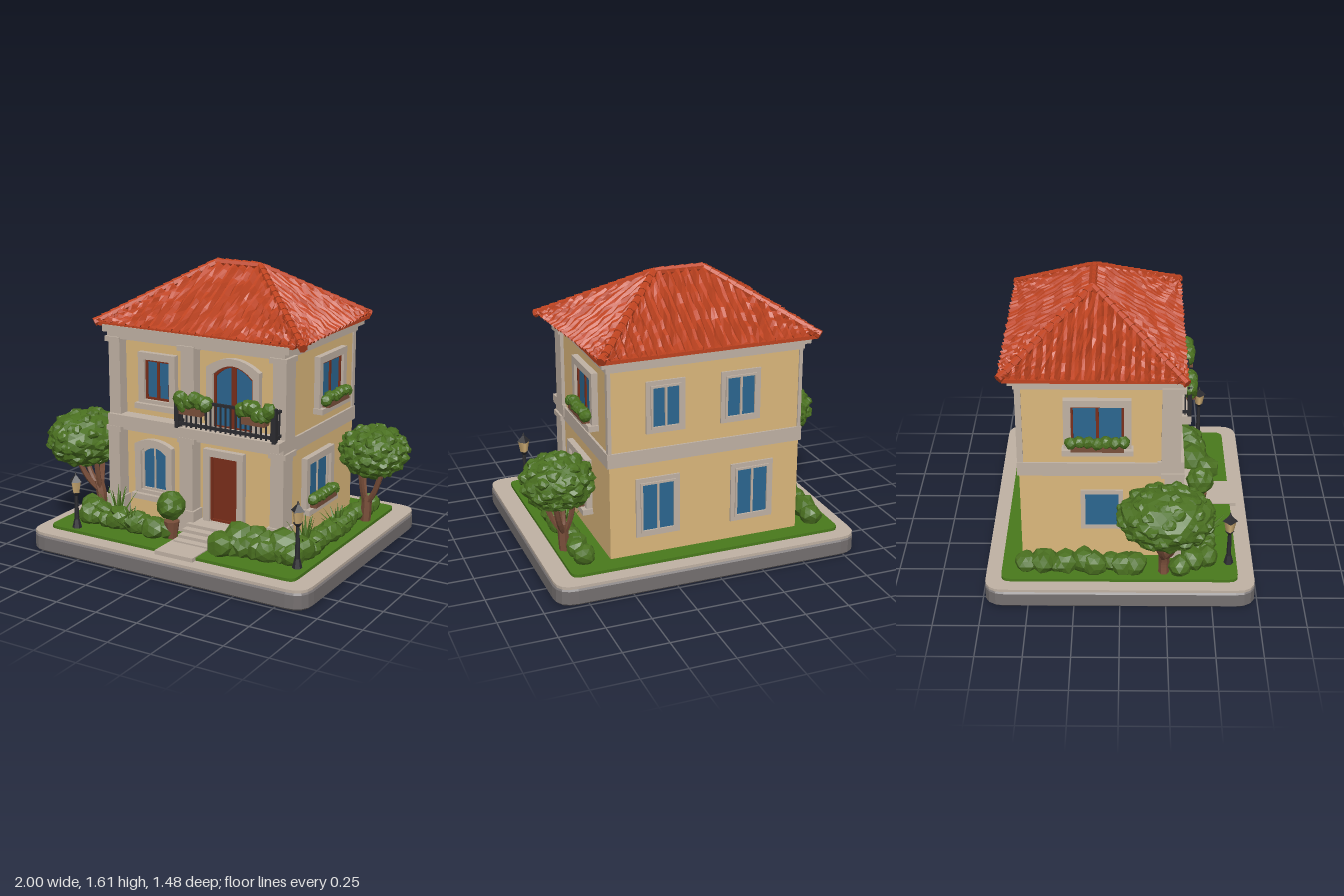
import * as THREE from 'three';

const mat = (name, color, extra = {}) => Object.assign(new THREE.MeshStandardMaterial({ color, ...extra }), { name });
const M = {
  roof: mat('roof tile', 0xbf4320, { flatShading: true, side: THREE.DoubleSide }),
  wall: mat('sand plaster', 0xdcb87c),
  trim: mat('pale stone', 0xc0b2a4),
  stone: mat('dark stone', 0x757070),
  leaf: mat('leaf green', 0x4a7020, { flatShading: true, side: THREE.DoubleSide }),
  grass: mat('grass green', 0x497a1c),
  door: mat('red wood', 0x7a2e1a),
  glass: mat('blue glass', 0x2b6690),
  iron: mat('black iron', 0x2b2b30, { flatShading: true }),
  bark: mat('bark brown', 0x7a4f3a, { flatShading: true }),
};
let seed = 7;
const rnd = (a = 0, b = 1) => { seed = (seed * 16807) % 2147483647; return a + (b - a) * seed / 2147483647; };
const V = (x, y, z) => new THREE.Vector3(x, y, z);

function add(parent, name, geo, material, x = 0, y = 0, z = 0) {
  const m = new THREE.Mesh(geo, material);
  m.name = name;
  m.position.set(x, y, z);
  parent.add(m);
  return m;
}
// Box given by its limits on each axis
const box = (p, name, m, x0, x1, y0, y1, z0, z1) =>
  add(p, name, new THREE.BoxGeometry(x1 - x0, y1 - y0, z1 - z0), m, (x0 + x1) / 2, (y0 + y1) / 2, (z0 + z1) / 2);
function group(parent, name, x = 0, y = 0, z = 0, ry = 0) {
  const g = new THREE.Group();
  g.name = name;
  g.position.set(x, y, z);
  g.rotation.y = ry;
  parent.add(g);
  return g;
}
const tube = (p, name, m, pts, r, sides = 6) =>
  add(p, name, new THREE.TubeGeometry(new THREE.CatmullRomCurve3(pts), pts.length * 3, r, sides), m);

// Rounded plate lying flat
function plate(p, name, m, x0, x1, z0, z1, r, y0, y1, bevel = 0) {
  const s = new THREE.Shape();
  const [a, b, c, d] = [x0 + bevel, x1 - bevel, -z1 + bevel, -z0 - bevel];
  s.moveTo(a + r, c); s.lineTo(b - r, c); s.quadraticCurveTo(b, c, b, c + r);
  s.lineTo(b, d - r); s.quadraticCurveTo(b, d, b - r, d);
  s.lineTo(a + r, d); s.quadraticCurveTo(a, d, a, d - r);
  s.lineTo(a, c + r); s.quadraticCurveTo(a, c, a + r, c);
  const g = new THREE.ExtrudeGeometry(s, { depth: y1 - y0 - 2 * bevel, bevelEnabled: bevel > 0, bevelSize: bevel, bevelThickness: bevel, bevelSegments: 1, curveSegments: 4 });
  g.rotateX(-Math.PI / 2);
  return add(p, name, g, m, 0, y0 + bevel, 0);
}

// Faceted foliage lump; equal corners move equally
function lump(p, name, x, y, z, rx, ry, rz, detail = 1, rough = 0.25) {
  const g = new THREE.IcosahedronGeometry(1, detail), a = g.attributes.position, v = V(0, 0, 0);
  for (let i = 0; i < a.count; i++) {
    v.fromBufferAttribute(a, i);
    const h = Math.sin(Math.round(v.x * 99) * 12.99 + Math.round(v.y * 99) * 78.23 + Math.round(v.z * 99) * 37.72 + x * 50) * 43758.5;
    v.multiplyScalar(1 + rough * (h - Math.floor(h) - 0.6));
    a.setXYZ(i, v.x * rx, v.y * ry, v.z * rz);
  }
  g.computeVertexNormals();
  return add(p, name, g, M.leaf, x, y, z);
}
function bushRow(p, name, x0, z0, x1, z1, n, r) {
  const g = group(p, name);
  for (let i = 0; i < n; i++) {
    const t = n > 1 ? i / (n - 1) : 0, s = r * rnd(0.85, 1.2);
    lump(g, 'bush', x0 + (x1 - x0) * t + rnd(-0.015, 0.015), 0.13 + s * 0.6, z0 + (z1 - z0) * t + rnd(-0.02, 0.02), s, s * 0.95, s);
  }
}

const outline = (S, w, h, arch, y = 0) => {
  const s = new S();
  s.moveTo(-w / 2, y); s.lineTo(w / 2, y); s.lineTo(w / 2, y + h - arch);
  if (arch) s.quadraticCurveTo(0, y + h + arch, -w / 2, y + h - arch);
  else s.lineTo(-w / 2, y + h);
  s.closePath();
  return s;
};
function frame(p, name, m, w, h, border, arch, depth, bottom) {
  const s = outline(THREE.Shape, w + 2 * border, h + border + bottom, arch, -bottom);
  s.holes.push(outline(THREE.Path, w, h, arch));
  return add(p, name, new THREE.ExtrudeGeometry(s, { depth, bevelEnabled: false, curveSegments: 8 }), m);
}
// Opening facing local +z, its origin at the bottom centre of the pane
function opening(parent, name, x, y, z, ry, w, h, o = {}) {
  const { arch = 0, border = 0.04, depth = 0.035, pane = M.glass, bars = M.door, sill = true, planter = false, mullion = 0.008 } = o;
  const g = group(parent, name, x, y, z, ry);
  frame(g, 'surround', M.trim, w, h, border, arch, depth, sill ? border : 0.001);
  add(g, 'pane', new THREE.ExtrudeGeometry(outline(THREE.Shape, w, h, arch), { depth: 0.008, bevelEnabled: false }), pane);
  if (bars) {
    frame(g, 'sash', bars, w - 0.024, h - 0.024, 0.012, arch, 0.018, 0.012).position.y = 0.012;
    if (mullion) box(g, 'mullion', bars, -mullion, mullion, 0, h - 0.005, 0, 0.016);
  }
  if (sill && depth > 0.02) box(g, 'sill', M.trim, -w / 2 - border - 0.01, w / 2 + border + 0.01, -border - 0.012, -border + 0.02, 0, depth + 0.025);
  if (planter) {
    box(g, 'planter', M.bark, -w / 2, w / 2, -0.02, 0.01, 0.02, 0.075);
    for (let i = 0; i < 7; i++) lump(g, 'planter leaves', (i / 6 - 0.5) * w, 0.02 + rnd(0, 0.015), 0.055, 0.035, 0.034, 0.035);
  }
  return g;
}

// Parallel tile rows on one slope: eave A to B, ridge D to C, cut along the hips
function tileSlope(p, name, A, B, C, D) {
  const e = B.clone().sub(A), L2 = e.lengthSq(), uD = D.clone().sub(A).dot(e) / L2, uC = C.clone().sub(A).dot(e) / L2;
  const up = D.clone().sub(A).addScaledVector(e, -uD), n = e.clone().cross(up).normalize();
  const cols = Math.round(Math.sqrt(L2) / 0.017), rows = 9, pos = [], idx = [];
  for (let i = 0; i <= cols; i++) {
    const u = i / cols, top = Math.min(1, u / uD, (1 - u) / (1 - uC));
    for (let j = 0; j <= rows; j++) {
      const inner = j < rows && i > 0 && i < cols;
      const q = A.clone().addScaledVector(e, u + (inner ? rnd(-0.2, 0.2) / cols : 0)).addScaledVector(up, top * j / rows);
      q.addScaledVector(n, (i % 3 ? 0.012 : -0.012) + rnd(-0.007, 0.007) + (j % 2 ? 0 : 0.006));
      pos.push(q.x, q.y, q.z);
      if (i < cols && j < rows) {
        const k = i * (rows + 1) + j, r = k + rows + 1;
        idx.push(k, r, r + 1, k, r + 1, k + 1);
      }
    }
  }
  const g = new THREE.BufferGeometry();
  g.setAttribute('position', new THREE.Float32BufferAttribute(pos, 3));
  g.setIndex(idx);
  g.computeVertexNormals();
  add(p, name, g, M.roof);
}

function tree(p, x, z, cx, cy, cz, rx, ry, rz) {
  const g = group(p, 'tree');
  tube(g, 'trunk', M.bark, [V(x, 0.11, z), V(x + 0.005, 0.2, z), V(x * 0.8 + cx * 0.2, 0.29, z)], 0.03);
  for (let i = 0; i < 4; i++) {
    const a = i * 1.57 + 0.5;
    tube(g, 'branch', M.bark, [V(x, 0.22, z), V((x + cx) / 2 + Math.cos(a) * 0.05, 0.32, (z + cz) / 2 + Math.sin(a) * 0.05), V(cx + Math.cos(a) * 0.1, cy - 0.03, cz + Math.sin(a) * 0.1)], 0.016);
  }
  lump(g, 'canopy', cx, cy, cz, rx * 0.96, ry * 0.96, rz * 0.96, 4, 0.12);
  for (let i = 0; i < 60; i++) {
    const h = 1 - 2 * (i + 0.5) / 60, a = i * 2.4, k = Math.sqrt(1 - h * h) * 0.84;
    lump(g, 'leaf cluster', cx + Math.cos(a) * k * rx, cy + h * 0.84 * ry, cz + Math.sin(a) * k * rz, 0.045, 0.036, 0.045, 1, 0.4);
  }
}
function lamp(p, x, z, h) {
  const g = group(p, 'streetLamp', x, 0.12, z);
  const cyl = (name, m, r1, r2, y0, y1, n = 6) => add(g, name, new THREE.CylinderGeometry(r1, r2, y1 - y0, n), m, 0, (y0 + y1) / 2, 0);
  cyl('base', M.iron, 0.016, 0.03, 0, 0.06);
  cyl('post', M.iron, 0.009, 0.014, 0.05, h - 0.11);
  cyl('lantern cup', M.iron, 0.026, 0.01, h - 0.13, h - 0.11);
  cyl('lantern glass', M.wall, 0.034, 0.022, h - 0.11, h - 0.045, 4);
  cyl('lantern cap', M.iron, 0.008, 0.042, h - 0.045, h - 0.01, 4);
  cyl('finial', M.iron, 0.002, 0.008, h - 0.01, h + 0.01);
}
function agave(p, x, z, r) {
  const g = group(p, 'spikyPlant', x, 0.14, z);
  for (let i = 0; i < 13; i++) {
    const c = new THREE.ConeGeometry(0.018, r, 4).translate(0, r / 2, 0).scale(1, 1, 0.35);
    const m = add(g, 'spike', c, M.leaf);
    m.rotation.set(0.25 + (i % 3) * 0.33, i * 2.4, 0, 'YXZ');
  }
}

export function createModel() {
  const root = new THREE.Group();
  root.name = 'villa';

  // Ground
  const ground = group(root, 'ground');
  plate(ground, 'slab', M.stone, -0.84, 0.92, -0.74, 0.74, 0.1, 0, 0.098, 0.012);
  plate(ground, 'paving', M.trim, -0.835, 0.915, -0.735, 0.735, 0.1, 0.097, 0.113);
  plate(ground, 'lawn', M.grass, -0.76, 0.81, -0.65, 0.645, 0.05, 0.11, 0.13);
  box(ground, 'path', M.trim, -0.02, 0.22, 0.11, 0.136, 0.4, 0.68);
  for (let i = 0; i < 4; i++) box(ground, 'step', M.trim, 0.0, 0.3, 0.11, 0.145 + i * 0.018, 0.26, 0.52 - i * 0.045);

  // Walls, bands and columns
  const house = group(root, 'house');
  box(house, 'walls', M.wall, -0.535, 0.565, 0.11, 1.22, -0.545, 0.26);
  box(house, 'middleBand', M.trim, -0.548, 0.578, 0.66, 0.74, -0.555, 0.32);
  box(house, 'frontBeam', M.trim, -0.55, 0.585, 0.68, 0.75, 0.2, 0.345);
  box(house, 'frieze', M.trim, -0.55, 0.58, 1.19, 1.24, -0.56, 0.335);
  box(house, 'cornice', M.trim, -0.575, 0.61, 1.225, 1.265, -0.585, 0.35);
  for (const [x0, x1] of [[-0.55, -0.475], [-0.07, 0.015], [0.505, 0.585]]) {
    box(house, 'lowerColumn', M.trim, x0, x1, 0.11, 0.68, 0.24, 0.345);
    box(house, 'upperColumn', M.trim, x0, x1, 0.74, 1.2, 0.22, 0.325);
    box(house, 'columnBase', M.trim, x0 - 0.012, x1 + 0.012, 0.11, 0.26, 0.24, 0.357);
    for (const y of [0.65, 1.17]) box(house, 'capital', M.trim, x0 - 0.012, x1 + 0.012, y, y + 0.03, 0.22, 0.347);
  }
  for (const x of [-0.543, 0.553]) box(house, 'backCorner', M.trim, x, x + 0.02, 0.74, 1.2, -0.553, -0.52);

  // Windows and doors
  opening(house, 'frontUpperWindow', -0.25, 0.85, 0.26, 0, 0.165, 0.23);
  opening(house, 'frontLowerWindow', -0.28, 0.31, 0.26, 0, 0.17, 0.265, { arch: 0.035, bars: M.trim, mullion: 0.004 });
  opening(house, 'frontDoor', 0.18, 0.2, 0.26, 0, 0.175, 0.38, { pane: M.door, sill: false, mullion: 0 });
  opening(house, 'balconyDoor', 0.24, 0.75, 0.26, 0, 0.25, 0.36, { arch: 0.06, sill: false, mullion: 0.015 });
  const R = Math.PI / 2;
  opening(house, 'rightUpperWindow', 0.565, 0.865, -0.21, R, 0.26, 0.23, { planter: true });
  opening(house, 'rightLowerWindow', 0.565, 0.32, -0.075, R, 0.26, 0.23, { planter: true, bars: M.trim, mullion: 0.004 });
  opening(house, 'leftUpperWindow', -0.535, 0.865, -0.12, -R, 0.28, 0.23, { planter: true });
  opening(house, 'leftLowerWindow', -0.535, 0.34, -0.1, -R, 0.18, 0.2, { border: 0.025, depth: 0.012, bars: null });
  for (const [x, y, w, h] of [[0.25, 0.85, 0.17, 0.24], [-0.18, 0.85, 0.18, 0.24], [0.295, 0.26, 0.2, 0.29], [-0.255, 0.26, 0.2, 0.29]])
    opening(house, 'backWindow', x, y, -0.545, Math.PI, w, h, { border: 0.025, depth: 0.01, bars: M.trim, mullion: 0.006 });

  // Balcony
  const balcony = group(root, 'balcony');
  box(balcony, 'balconyFloor', M.trim, -0.07, 0.585, 0.705, 0.755, 0.26, 0.4);
  const railBox = (x0, x1, z0, z1) => [0.77, 0.905].forEach(y => box(balcony, 'rail', M.iron, x0, x1, y, y + 0.016, z0, z1));
  railBox(-0.06, 0.56, 0.382, 0.396);
  for (const x of [-0.06, 0.546]) {
    railBox(x, x + 0.014, 0.31, 0.396);
    box(balcony, 'railPost', M.iron, x - 0.005, x + 0.019, 0.75, 0.94, 0.377, 0.401);
    for (const z of [0.335, 0.36]) box(balcony, 'baluster', M.iron, x + 0.003, x + 0.011, 0.76, 0.91, z, z + 0.008);
  }
  for (let i = 1; i < 20; i++) box(balcony, 'baluster', M.iron, -0.06 + i * 0.031, -0.052 + i * 0.031, 0.76, 0.91, 0.385, 0.393);
  for (const x of [0.05, 0.44]) {
    box(balcony, 'railPlanter', M.bark, x - 0.07, x + 0.07, 0.84, 0.88, 0.37, 0.425);
    for (let i = 0; i < 6; i++) lump(balcony, 'railLeaves', x - 0.08 + i * 0.032, 0.89 + rnd(-0.02, 0.04), 0.395, 0.043, 0.046, 0.043);
  }

  // Hipped roof
  const roof = group(root, 'roof');
  const [a, b, c, d] = [V(-0.63, 1.27, 0.345), V(0.69, 1.27, 0.345), V(0.625, 1.28, -0.625), V(-0.605, 1.28, -0.625)];
  const [l, r] = [V(-0.12, 1.585, -0.15), V(0.16, 1.585, -0.15)];
  tileSlope(roof, 'frontSlope', a, b, r, l);
  tileSlope(roof, 'rightSlope', b, c, r, r);
  tileSlope(roof, 'backSlope', c, d, l, r);
  tileSlope(roof, 'leftSlope', d, a, l, l);
  box(roof, 'eaves', M.roof, -0.605, 0.63, 1.255, 1.275, -0.61, 0.345);
  for (const [p, q] of [[a, l], [d, l], [b, r], [c, r], [l, r]]) {
    for (let i = 0, n = Math.round(p.distanceTo(q) / 0.055); i < n; i++) {
      const s = p.clone().lerp(q, i / n), e = p.clone().lerp(q, (i + 1.15) / n);
      const cap = add(roof, 'ridgeTile', new THREE.CylinderGeometry(0.019, 0.025, s.distanceTo(e), 7), M.roof);
      cap.position.copy(s).add(e).multiplyScalar(0.5);
      cap.quaternion.setFromUnitVectors(V(0, 1, 0), e.sub(s).normalize());
    }
  }

  // Garden
  const garden = group(root, 'garden');
  tree(garden, -0.69, 0.24, -0.775, 0.55, 0.245, 0.215, 0.165, 0.27);
  tree(garden, 0.76, -0.34, 0.795, 0.55, -0.355, 0.195, 0.145, 0.205);
  lamp(garden, -0.6, 0.6, 0.33);
  lamp(garden, 0.75, 0.49, 0.37);
  bushRow(garden, 'frontLeftBushes', -0.6, 0.48, -0.1, 0.47, 9, 0.065);
  bushRow(garden, 'frontRightBushes', 0.3, 0.5, 0.7, 0.44, 7, 0.07);
  bushRow(garden, 'entryBushes', 0.38, 0.42, 0.62, 0.4, 4, 0.095);
  bushRow(garden, 'rightBushes', 0.71, 0.36, 0.7, -0.5, 12, 0.065);
  bushRow(garden, 'leftBushes', -0.66, -0.5, -0.66, 0.08, 9, 0.065);
  bushRow(garden, 'cornerBushes', -0.68, 0.34, -0.56, 0.42, 3, 0.07);
  agave(garden, -0.44, 0.42, 0.22);
  agave(garden, -0.3, 0.5, 0.14);
  agave(garden, 0.68, 0.26, 0.2);
  agave(garden, 0.7, -0.1, 0.15);
  add(garden, 'pot', new THREE.CylinderGeometry(0.045, 0.03, 0.1, 8), M.bark, -0.05, 0.18, 0.46);
  lump(garden, 'pottedBush', -0.055, 0.315, 0.46, 0.08, 0.085, 0.08, 2, 0.2);
  return root;
}
